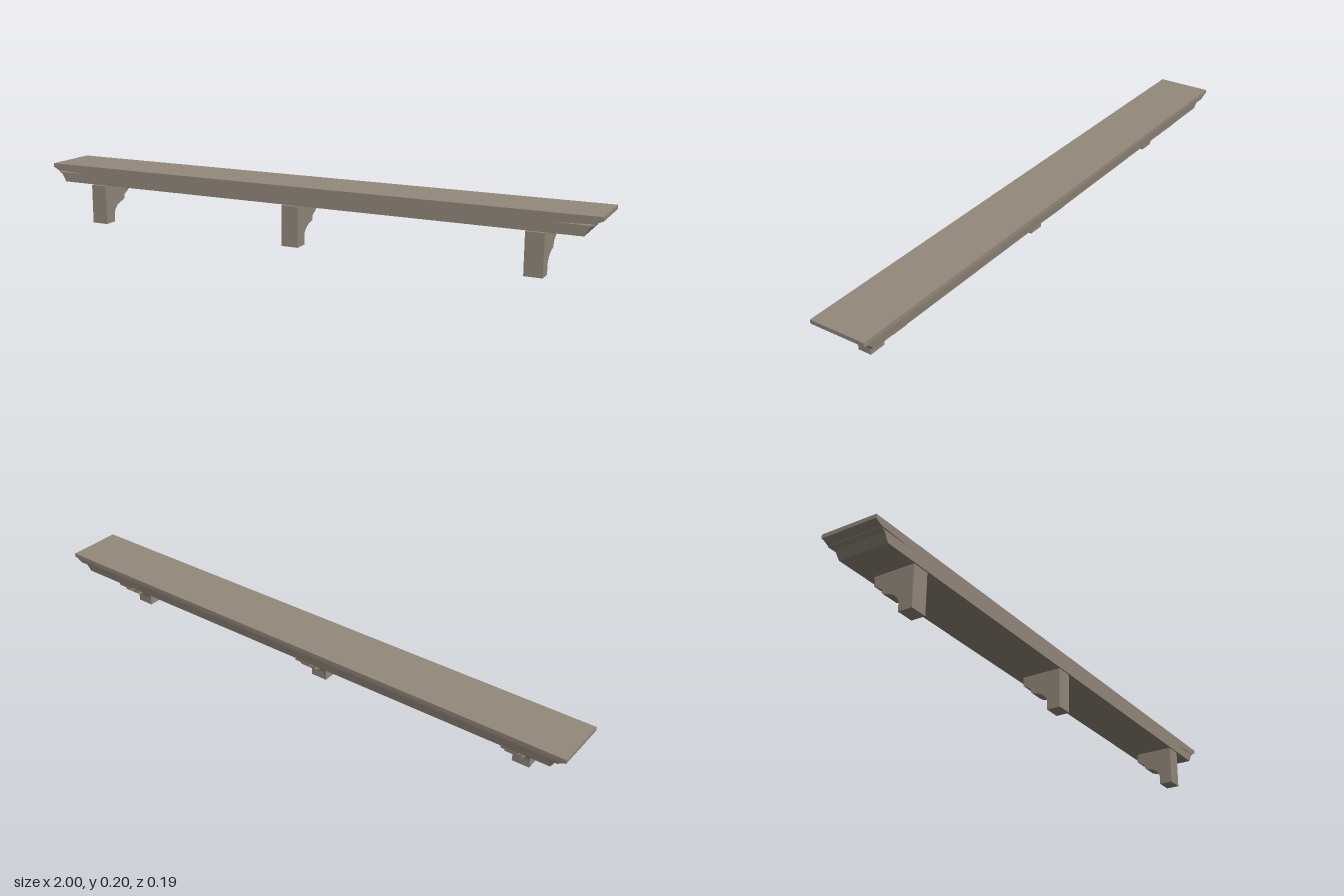
import * as THREE from 'three';

const FRONT = 0.097;
const material = new THREE.MeshStandardMaterial({ color: 0x94887b, flatShading: true, side: THREE.DoubleSide });

// Moulding rings from bottom to top: [height, half width, rear depth]
const RINGS = [
  [0.142, 0.946, 0.076],
  [0.17, 0.962, 0.08],
  [0.176, 0.975, 0.093],
  [0.181, 0.977, 0.094],
  [0.191, 0.997, 0.095],
  [0.192, 1, 0.097],
  [0.205, 1, 0.097],
];

// Mitred moulding on both ends and the rear, plus top and underside
function mouldingGeometry() {
  const positions = [];
  const quad = (a, b, c, d) => positions.push(...a, ...b, ...c, ...a, ...c, ...d);
  const corners = ([y, w, d]) => [[w, y, FRONT], [w, y, -d], [-w, y, -d], [-w, y, FRONT]];
  for (let i = 0; i < RINGS.length - 1; i++) {
    const low = corners(RINGS[i]);
    const high = corners(RINGS[i + 1]);
    for (let k = 0; k < 3; k++) quad(low[k], low[k + 1], high[k + 1], high[k]);
  }
  const top = corners(RINGS[RINGS.length - 1]);
  const bottom = corners(RINGS[0]);
  quad(top[0], top[1], top[2], top[3]);
  quad(bottom[3], bottom[2], bottom[1], bottom[0]);
  const geometry = new THREE.BufferGeometry();
  geometry.setAttribute('position', new THREE.Float32BufferAttribute(positions, 3));
  geometry.computeVertexNormals();
  return geometry;
}

// Flat long face, with a thin tapering slit at each end
function frontGeometry() {
  const right = [];
  RINGS.forEach(([y, w], i) => {
    right.push(new THREE.Vector2(w, y));
    if (i === 2) right.push(new THREE.Vector2(0.85, 0.176));
  });
  const left = right.map((p) => new THREE.Vector2(-p.x, p.y)).reverse();
  return new THREE.ShapeGeometry(new THREE.Shape([...right, ...left])).translate(0, 0, FRONT);
}

// Bracket side outline, drawn with depth as x, then extruded across the width
function bracketGeometry(width) {
  const s = new THREE.Shape();
  s.moveTo(-0.096, 0);
  s.lineTo(-0.048, 0);
  s.lineTo(-0.048, 0.025);
  s.bezierCurveTo(-0.048, 0.05, -0.026, 0.064, 0, 0.07);
  s.quadraticCurveTo(0.012, 0.073, 0.015, 0.078);
  s.lineTo(0.015, 0.09);
  s.lineTo(0.045, 0.108);
  s.lineTo(0.045, 0.139);
  s.lineTo(-0.096, 0.139);
  s.closePath();
  return new THREE.ExtrudeGeometry(s, { depth: width, bevelEnabled: false, curveSegments: 8 })
    .translate(0, 0, -width / 2)
    .rotateY(Math.PI / 2);
}

export function createModel() {
  const group = new THREE.Group();
  group.name = 'bracketedShelf';
  const add = (name, geometry, x = 0) => {
    const mesh = new THREE.Mesh(geometry, material);
    mesh.name = name;
    mesh.position.x = x;
    group.add(mesh);
  };

  add('shelfMoulding', mouldingGeometry());
  add('shelfFront', frontGeometry());

  // Three supporting brackets, the middle one slightly off centre
  const bracket = bracketGeometry(0.06);
  add('rightBracket', bracket, -0.8);
  add('middleBracket', bracket, -0.024);
  add('leftBracket', bracket, 0.8);
  return group;
}
